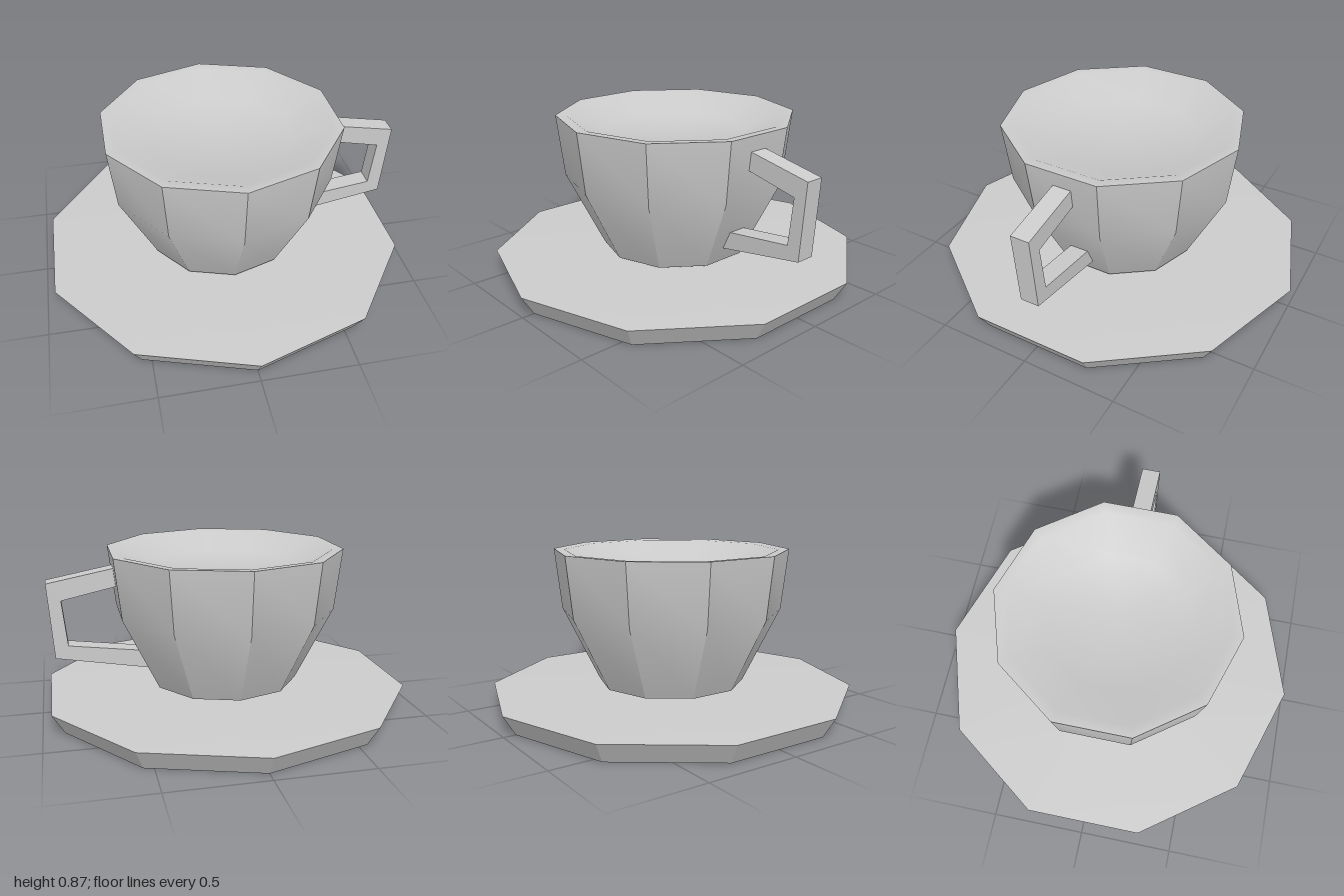
import * as THREE from 'three';
import { toCreasedNormals } from 'three/addons/utils/BufferGeometryUtils.js';

const SIDES = 10;
const material = new THREE.MeshStandardMaterial({ color: 0xcccccc });

// Ten-sided turned part; profile runs from the bottom centre, up the outside, to the top centre.
function turned(name, profile) {
  const points = profile.map(([r, y]) => new THREE.Vector2(r, y));
  const geometry = toCreasedNormals(
    new THREE.LatheGeometry(points, SIDES),
    THREE.MathUtils.degToRad(31)
  );
  const mesh = new THREE.Mesh(geometry, material);
  mesh.name = name;
  return mesh;
}

// Angular handle: a flat C-shaped band with its ends sunk into the cup wall.
function makeHandle() {
  const outline = [
    [0.57, 0.793], [0.57, 0.694], [0.87, 0.63], [0.845, 0.385],
    [0.44, 0.33], [0.4, 0.228], [0.915, 0.32], [0.943, 0.723],
  ];
  const width = 0.1;
  const shape = new THREE.Shape(outline.map(([x, y]) => new THREE.Vector2(x, y)));
  const geometry = new THREE.ExtrudeGeometry(shape, { depth: width, bevelEnabled: false });
  geometry.translate(0, 0, -width / 2);
  const mesh = new THREE.Mesh(geometry, material);
  mesh.name = 'handle';
  return mesh;
}

export function createModel() {
  const model = new THREE.Group();
  model.name = 'cupAndSaucer';

  // Saucer with a flared edge and a slightly raised centre
  model.add(turned('saucer', [[0, 0], [0.935, 0], [1, 0.108], [0, 0.136]]));

  // Cup with a narrow rim and a shallow, filled inside
  const cup = new THREE.Group();
  cup.name = 'cup';
  cup.add(turned('cupBody', [
    [0, 0.14], [0.4, 0.14], [0.6, 0.54], [0.638, 0.868],
    [0.58, 0.864], [0.39, 0.775], [0, 0.775],
  ]));
  cup.add(makeHandle());
  model.add(cup);

  return model;
}
